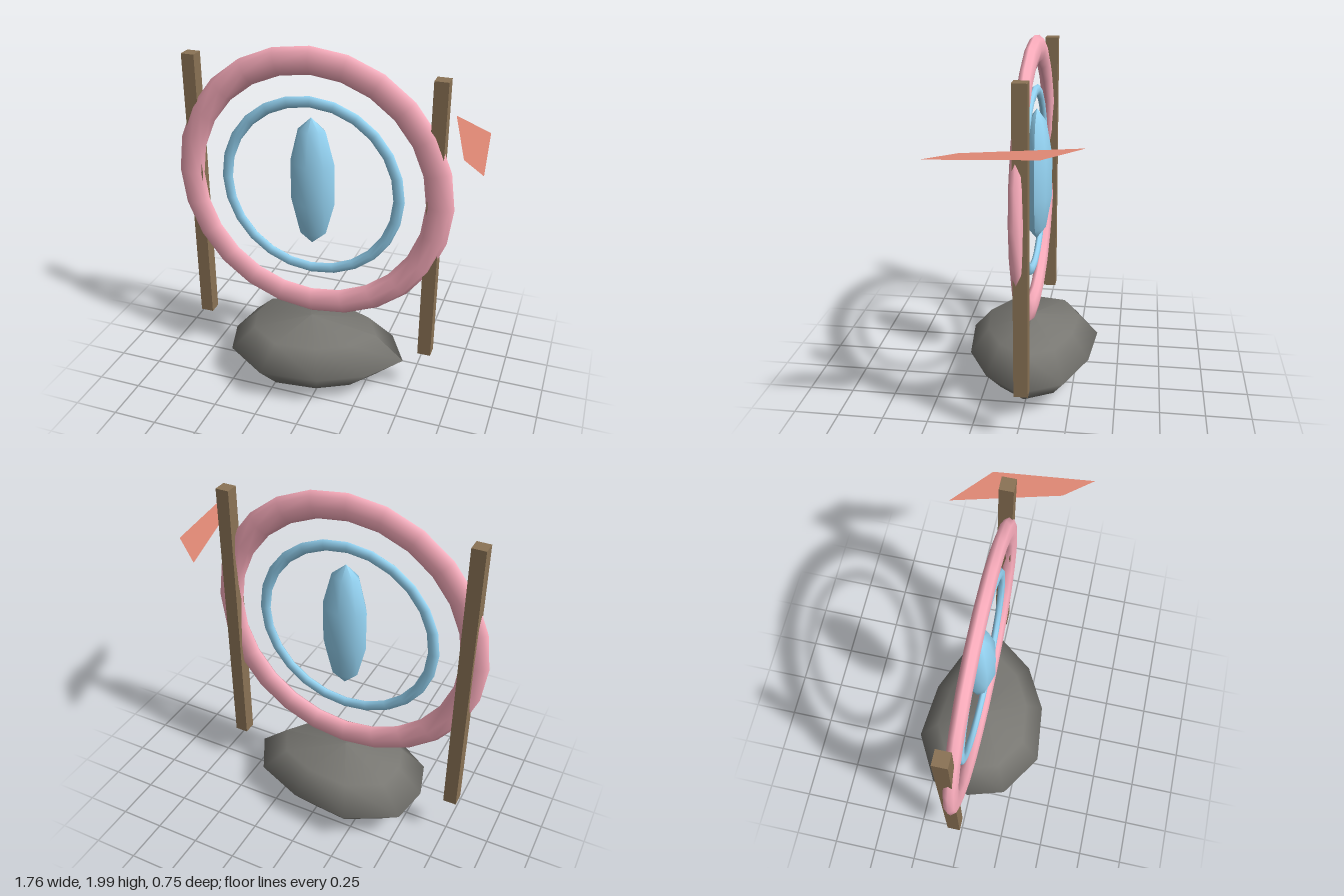
import * as THREE from 'three';

const CX = -0.0925; // shared axis of rings, crystal and rock

const paint = (color) => {
  const m = new THREE.MeshStandardMaterial();
  m.color.setHex(color);
  return m;
};

// Squashed low-poly spheroid whose girth varies from column to column (first column at +x, then round the back)
function lumpySpheroid(radii, rows, halfHeight, depth) {
  const cols = radii.length;
  const geo = new THREE.SphereGeometry(1, cols, rows, Math.PI);
  const p = geo.attributes.position;
  for (let i = 0; i < p.count; i++) {
    const r = radii[(i % (cols + 1)) % cols];
    p.setXYZ(i, p.getX(i) * r, p.getY(i) * halfHeight, p.getZ(i) * r * depth);
  }
  geo.computeVertexNormals();
  return geo;
}

export function createModel() {
  const group = new THREE.Group();
  const add = (name, geometry, material, x, y, z) => {
    const mesh = new THREE.Mesh(geometry, material);
    mesh.name = name;
    mesh.position.set(x, y, z);
    group.add(mesh);
    return mesh;
  };

  const pink = paint(0xffb0c0);
  const blue = paint(0x98d8f8);
  const wood = paint(0x8b7355);
  const stone = paint(0x787772);
  const coral = paint(0xe08875);
  coral.side = THREE.DoubleSide;

  // Rings, flattened front to back
  add('outerRing', new THREE.TorusGeometry(0.712, 0.075, 8, 24), pink, CX, 1.209, -0.009).scale.z = 0.5;
  add('innerRing', new THREE.TorusGeometry(0.493, 0.031, 8, 24), blue, CX, 1.209, -0.009).scale.z = 0.6;

  // Floating crystal in the middle
  const crystalRadii = [0.138, 0.134, 0.133, 0.134, 0.127, 0.13, 0.133, 0.135];
  add('crystal', lumpySpheroid(crystalRadii, 5, 0.372, 0.67), blue, CX, 1.241, -0.022);

  // Base rock
  const rockRadii = [0.56, 0.54, 0.51, 0.56, 0.55, 0.485, 0.52, 0.565, 0.51, 0.5];
  add('rock', lumpySpheroid(rockRadii, 4, 0.195, 0.7), stone, CX, 0.2, 0);

  // Side posts
  for (const [name, side] of [['leftPost', 1], ['rightPost', -1]]) {
    add(name, new THREE.BoxGeometry(0.074, 1.61, 0.074), wood, CX + side * 0.68, 1.085, -0.03);
  }

  // Flat horizontal shard beside the left post
  const shard = new THREE.Shape(
    [[0.61, 0.333], [0.76, -0.225], [0.88, -0.373], [0.823, 0.15]].map(([x, y]) => new THREE.Vector2(x, y))
  );
  const shardGeo = new THREE.ShapeGeometry(shard).rotateX(-Math.PI / 2);
  add('shard', shardGeo, coral, 0, 1.6, 0);

  // Rest on the ground
  group.children.forEach((m) => { m.position.y -= 0.005; });
  return group;
}
